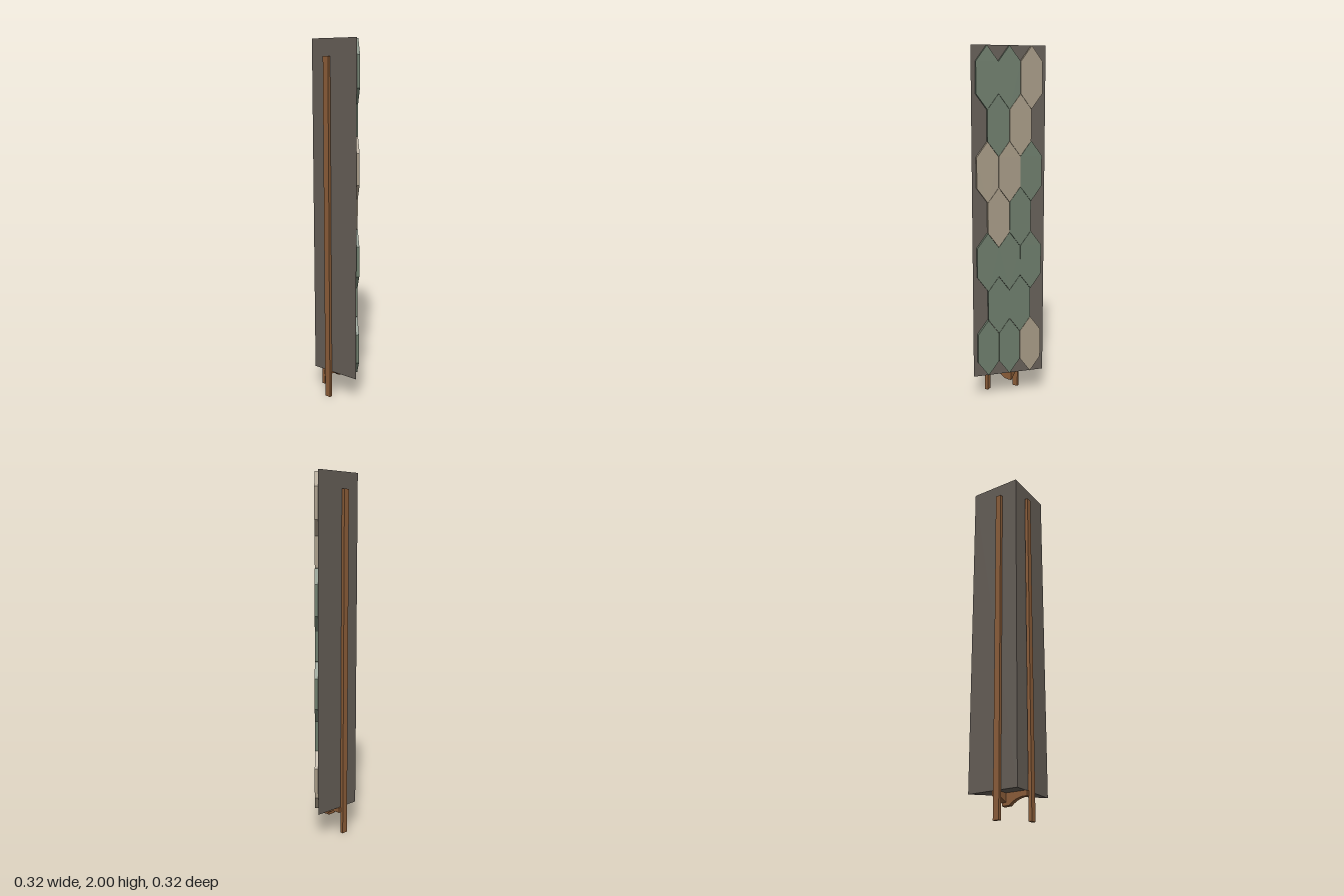
import * as THREE from 'three';

const mat = (name, color) => {
  const m = new THREE.MeshStandardMaterial({ color });
  m.name = name;
  return m;
};

export function createModel() {
  const group = new THREE.Group();
  const slate = mat('dark slate', 0x645d56);
  const wood = mat('wood', 0x8a5c38);
  const green = mat('green tile', 0x6b7a69);
  const beige = mat('beige tile', 0xa39783);

  const add = (parent, name, geometry, material, x = 0, y = 0, z = 0) => {
    const mesh = new THREE.Mesh(geometry, material);
    mesh.name = name;
    mesh.position.set(x, y, z);
    parent.add(mesh);
    return mesh;
  };
  const polygon = (pts) => new THREE.Shape(pts.map(([x, y]) => new THREE.Vector2(x, y)));
  const extrude = (shape, depth) =>
    new THREE.ExtrudeGeometry(shape, { depth, bevelEnabled: false, curveSegments: 8 });

  // Triangular column, right angle at the back right corner
  const a = -0.137, b = 0.157;
  const column = extrude(polygon([[a, -a], [a, -b], [b, -a]]), 1.85);
  column.rotateX(-Math.PI / 2);
  add(group, 'column', column, slate, 0, 0.15, 0);

  // Staggered elongated hexagon tiles on the diagonal face, bottom row first
  const rows = ['GGB', 'GG', 'GGG', 'BG', 'BBG', 'GB', 'GGB'];
  const pitch = 0.124, half = pitch / 2 - 0.0008, tip = 0.1665, shoulder = 0.084;
  const tile = extrude(polygon([
    [0, -tip], [half, -shoulder], [half, shoulder],
    [0, tip], [-half, shoulder], [-half, -shoulder],
  ]), 0.02);
  const tiles = new THREE.Group();
  tiles.name = 'tiles';
  tiles.position.set(0.01, 0, 0.01);
  tiles.rotation.y = Math.PI / 4;
  group.add(tiles);
  rows.forEach((row, r) => {
    [...row].forEach((c, i) => {
      const u = (i - (row.length - 1) / 2) * pitch;
      add(tiles, 'tile', tile, c === 'G' ? green : beige, u, 0.322 + r * 0.2517, 0);
    });
  });

  // Tall posts behind the two straight faces
  add(group, 'backPost', new THREE.BoxGeometry(0.034, 1.91, 0.019), wood, -0.028, 0.955, -0.1515);
  add(group, 'sidePost', new THREE.BoxGeometry(0.019, 1.91, 0.034), wood, -0.1515, 0.955, -0.028);

  // Curved braces crossing under the column
  const brace = (length) => {
    const s = new THREE.Shape();
    s.moveTo(0, 0.15);
    s.lineTo(0, 0.122);
    s.lineTo(0.03, 0.122);
    s.quadraticCurveTo(0.075, 0.115, 0.105, 0.086);
    s.lineTo(length, 0.086);
    s.lineTo(length, 0.15);
    return extrude(s, 0.026);
  };
  add(group, 'sideBrace', brace(0.148), wood, -0.146, 0, -0.062);
  add(group, 'backBrace', brace(0.116), wood, 0.005, 0, -0.146).rotation.y = -Math.PI / 2;

  return group;
}
